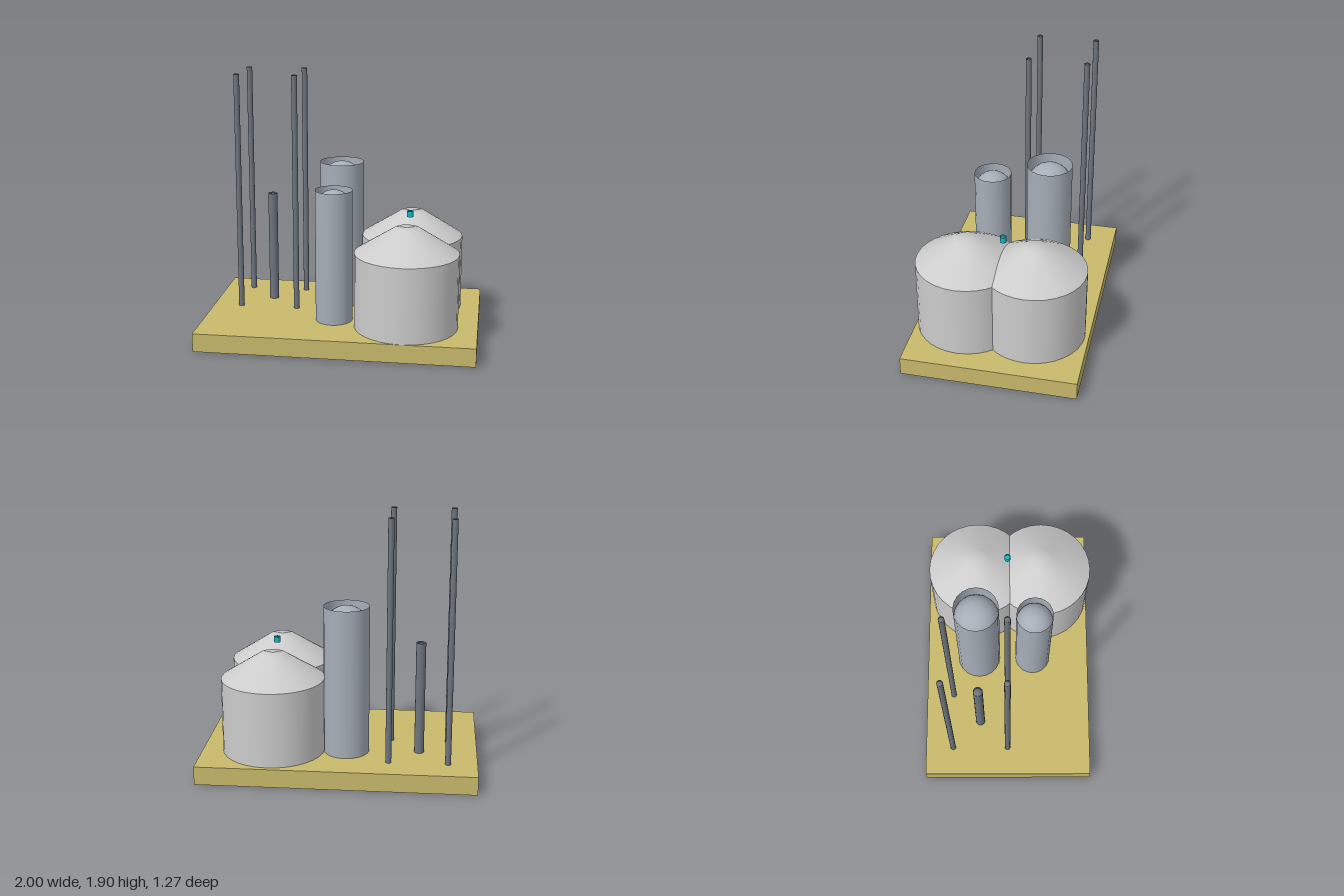
import * as THREE from 'three';

const mat = (name, color, side = THREE.FrontSide) => {
  const m = new THREE.MeshStandardMaterial({ color, side });
  m.name = name;
  return m;
};

export function createModel() {
  const sand = mat('sand', 0xc8b96c);
  const tankGrey = mat('tank grey', 0xcccccc);
  const siloGrey = mat('silo blue grey', 0xa6aeb8, THREE.DoubleSide);
  const poleGrey = mat('pole dark grey', 0x6e757e, THREE.DoubleSide);
  const cyan = mat('beacon cyan', 0x12b8c2, THREE.DoubleSide);

  const model = new THREE.Group();
  model.name = 'tankFarm';
  const baseTop = 0.135;

  const add = (parent, name, geometry, material, x, y, z) => {
    const mesh = new THREE.Mesh(geometry, material);
    mesh.name = name;
    mesh.position.set(x, y, z);
    parent.add(mesh);
    return mesh;
  };

  const group = (name, x, z) => {
    const g = new THREE.Group();
    g.name = name;
    g.position.set(x, 0, z);
    model.add(g);
    return g;
  };

  // Open tube with a dome nested inside, its crown level with the rim
  const column = (name, x, z, r, bottom, top, material, sides) => {
    const g = group(name, x, z);
    const h = top - bottom;
    add(g, name + 'Wall', new THREE.CylinderGeometry(r, r, h, sides, 1, true), material, 0, bottom + h / 2, 0);
    const dome = new THREE.SphereGeometry(r, sides, 8, 0, Math.PI * 2, 0, Math.PI / 2);
    add(g, name + 'Dome', dome, material, 0, top - r, 0);
    const floor = add(g, name + 'Floor', new THREE.CircleGeometry(r, sides), material, 0, bottom, 0);
    floor.rotation.x = Math.PI / 2;
  };

  // Round tank with a blunt conical roof
  const tank = (name, x, z) => {
    const g = group(name, x, z);
    const r = 0.375, eave = 0.685, top = 0.867;
    add(g, name + 'Wall', new THREE.CylinderGeometry(r, r, eave - baseTop, 32, 1, true),
      tankGrey, 0, (eave + baseTop) / 2, 0);
    const profile = [[r, eave], [0.09, top], [0, top]].map(([a, b]) => new THREE.Vector2(a, b));
    add(g, name + 'Roof', new THREE.LatheGeometry(profile, 32), tankGrey, 0, 0, 0);
  };

  // Ground slab
  add(model, 'base', new THREE.BoxGeometry(2, baseTop, 1.27), sand, 0, baseTop / 2, 0);

  tank('backTank', 0.483, -0.23);
  tank('frontTank', 0.483, 0.258);

  column('tallSilo', -0.05, -0.228, 0.165, baseTop, 1.23, siloGrey, 20);
  column('shortSilo', -0.05, 0.195, 0.135, baseTop, 1.11, siloGrey, 20);

  // Four tall masts around a short stack
  for (const x of [-0.79, -0.366])
    for (const z of [-0.426, -0.003])
      column('mast', x, z, 0.021, baseTop, 1.896, poleGrey, 16);
  column('stack', -0.58, -0.215, 0.035, 0, 0.97, poleGrey, 16);

  // Small beacon above the tanks
  column('beacon', 0.483, -0.003, 0.023, 0.88, 0.924, cyan, 16);

  return model;
}
